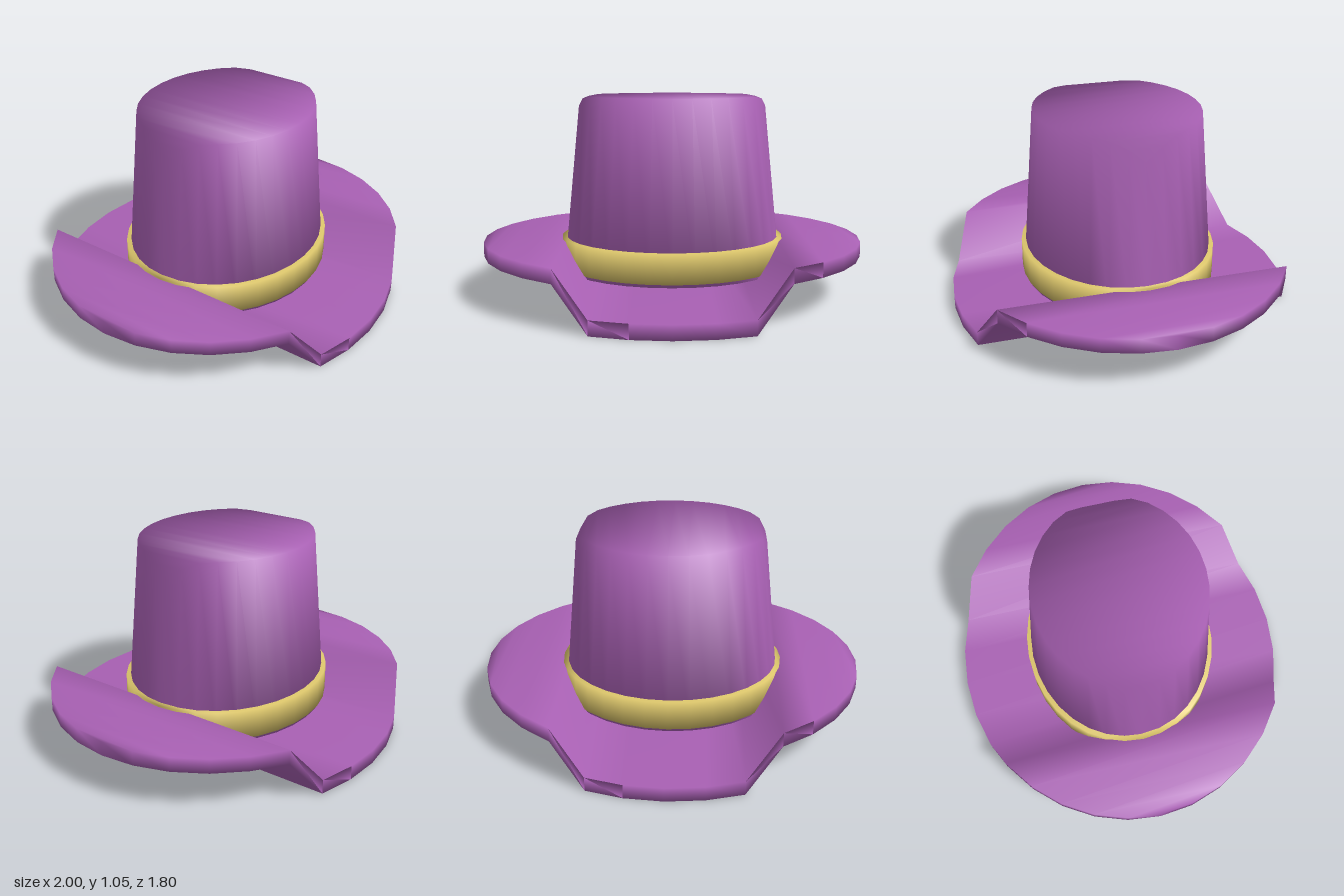
import * as THREE from 'three';

const SEGMENTS = 32;

// Closed elliptical drum: two rings whose heights may vary with x, smooth-shaded throughout.
// Caps are strips running along z, so they fold cleanly where the height changes.
function drum(top, bottom) {
  const positions = [];
  const index = [];
  for (const ring of [top, bottom]) {
    for (let i = 0; i < SEGMENTS; i++) {
      const t = (i / SEGMENTS) * Math.PI * 2;
      const c = Math.cos(t);
      positions.push(ring.rx * c, ring.y(Math.abs(c)), ring.rz * Math.sin(t));
    }
  }
  const N = SEGMENTS;
  const quad = (a, b, c, d) => {
    if (a !== b) index.push(a, b, c);
    if (c !== d) index.push(a, c, d);
  };
  // wall
  for (let i = 0; i < N; i++) {
    const j = (i + 1) % N;
    quad(N + i, i, j, N + j);
  }
  // top and bottom caps
  for (let i = 0; i < N / 2; i++) {
    const p = i, p2 = i + 1, q = (N - i) % N, q2 = N - i - 1;
    quad(p, q, q2, p2);
    quad(N + p2, N + q2, N + q, N + p);
  }
  const geometry = new THREE.BufferGeometry();
  geometry.setAttribute('position', new THREE.Float32BufferAttribute(positions, 3));
  geometry.setIndex(index);
  geometry.computeVertexNormals();
  return geometry;
}

export function createModel() {
  const purple = new THREE.MeshStandardMaterial({ color: 0xa860b3 });
  purple.name = 'purple felt';
  const gold = new THREE.MeshStandardMaterial({ color: 0xdbc56b });
  gold.name = 'gold ribbon';

  const hat = new THREE.Group();
  hat.name = 'hat';
  const add = (name, geometry, material) => {
    const mesh = new THREE.Mesh(geometry, material);
    mesh.name = name;
    hat.add(mesh);
  };

  // Brim: thin oval whose left and right sides are turned up
  const lift = (c) => (c > 0.5 ? 0.22 : 0);
  add('brim', drum(
    { rx: 1, rz: 0.9, y: (c) => lift(c) + 0.075 },
    { rx: 1, rz: 0.9, y: lift },
  ), purple);

  // Crown: tapering drum whose top edge drops away at the left and right
  const crownTop = (c) => (c > 0.99 ? 0.93 : c > 0.95 ? 1.0 : c > 0.9 ? 1.04 : 1.048);
  add('crown', drum(
    { rx: 0.493, rz: 0.432, y: crownTop },
    { rx: 0.581, rz: 0.505, y: () => 0.135 },
  ), purple);

  // Band around the foot of the crown
  add('band', drum(
    { rx: 0.59, rz: 0.515, y: () => 0.305 },
    { rx: 0.592, rz: 0.515, y: () => 0.152 },
  ), gold);

  return hat;
}
